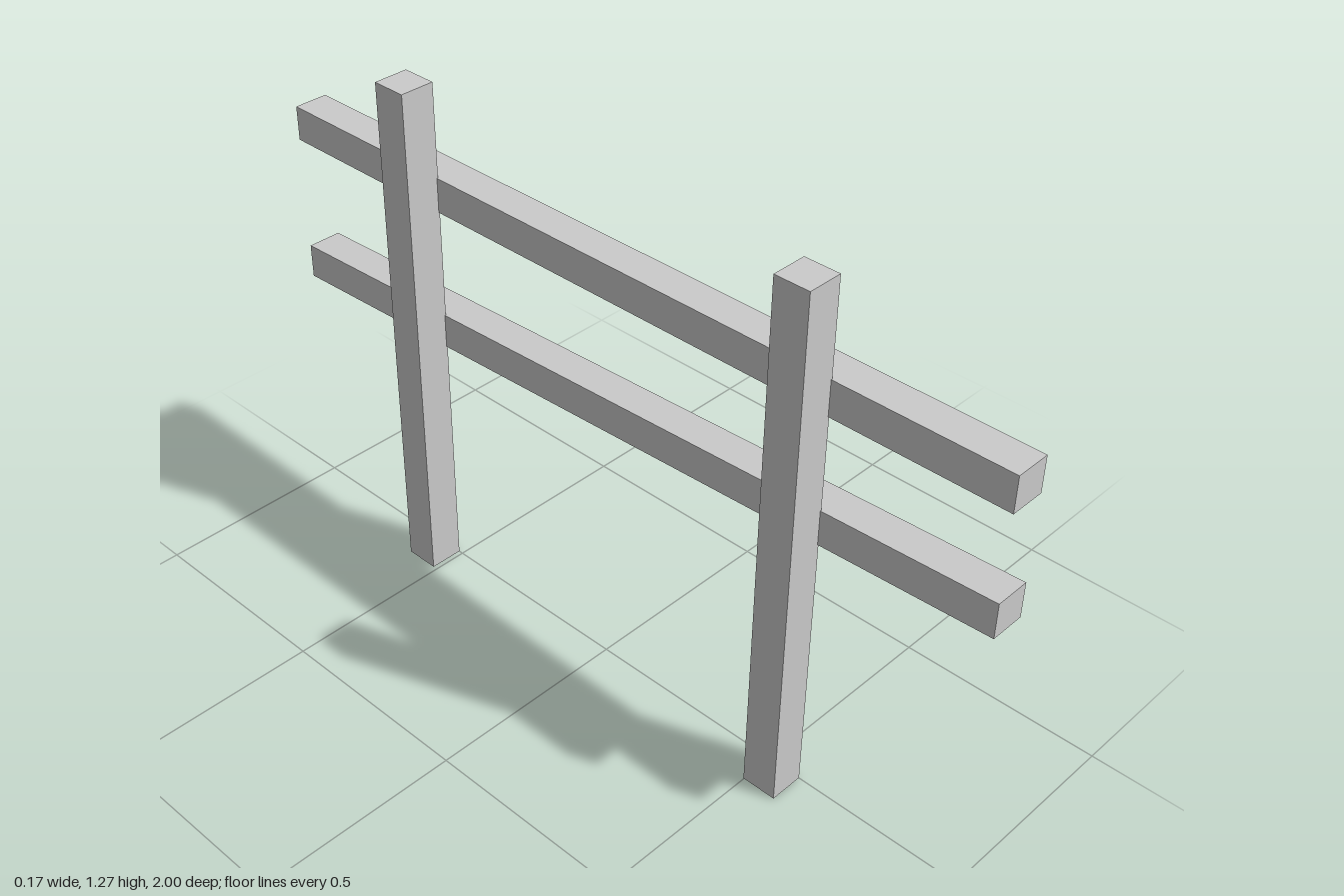
import * as THREE from 'three';

const material = new THREE.MeshStandardMaterial({ color: 0xcccccc, flatShading: true });
const openMaterial = new THREE.MeshStandardMaterial({ color: 0xcccccc, flatShading: true, side: THREE.DoubleSide });

const THICK = 0.085;
const POST_HEIGHT = 1.275;

// Square post, open at the foot
function makePost(name, z) {
  const geometry = new THREE.BoxGeometry(THICK, POST_HEIGHT, THICK);
  const index = Array.from(geometry.index.array);
  index.splice(18, 6); // drop the bottom face
  geometry.setIndex(index);
  geometry.clearGroups();
  const post = new THREE.Mesh(geometry, openMaterial);
  post.name = name;
  post.position.set(-0.042, POST_HEIGHT / 2, z);
  return post;
}

// Long rail, sheared by a slope so its ends stay upright
function makeRail(name, y, slope) {
  const geometry = new THREE.BoxGeometry(THICK, THICK, 2);
  const p = geometry.attributes.position;
  for (let i = 0; i < p.count; i++) p.setY(i, p.getY(i) + slope * p.getZ(i));
  geometry.computeVertexNormals();
  const rail = new THREE.Mesh(geometry, material);
  rail.name = name;
  rail.position.set(0.04, y, 0);
  return rail;
}

export function createModel() {
  const fence = new THREE.Group();
  fence.name = 'fence';
  fence.add(
    makePost('frontPost', 0.541),
    makePost('backPost', -0.554),
    makeRail('upperRail', 1.005, 0),
    makeRail('lowerRail', 0.673, 0.039)
  );
  return fence;
}
